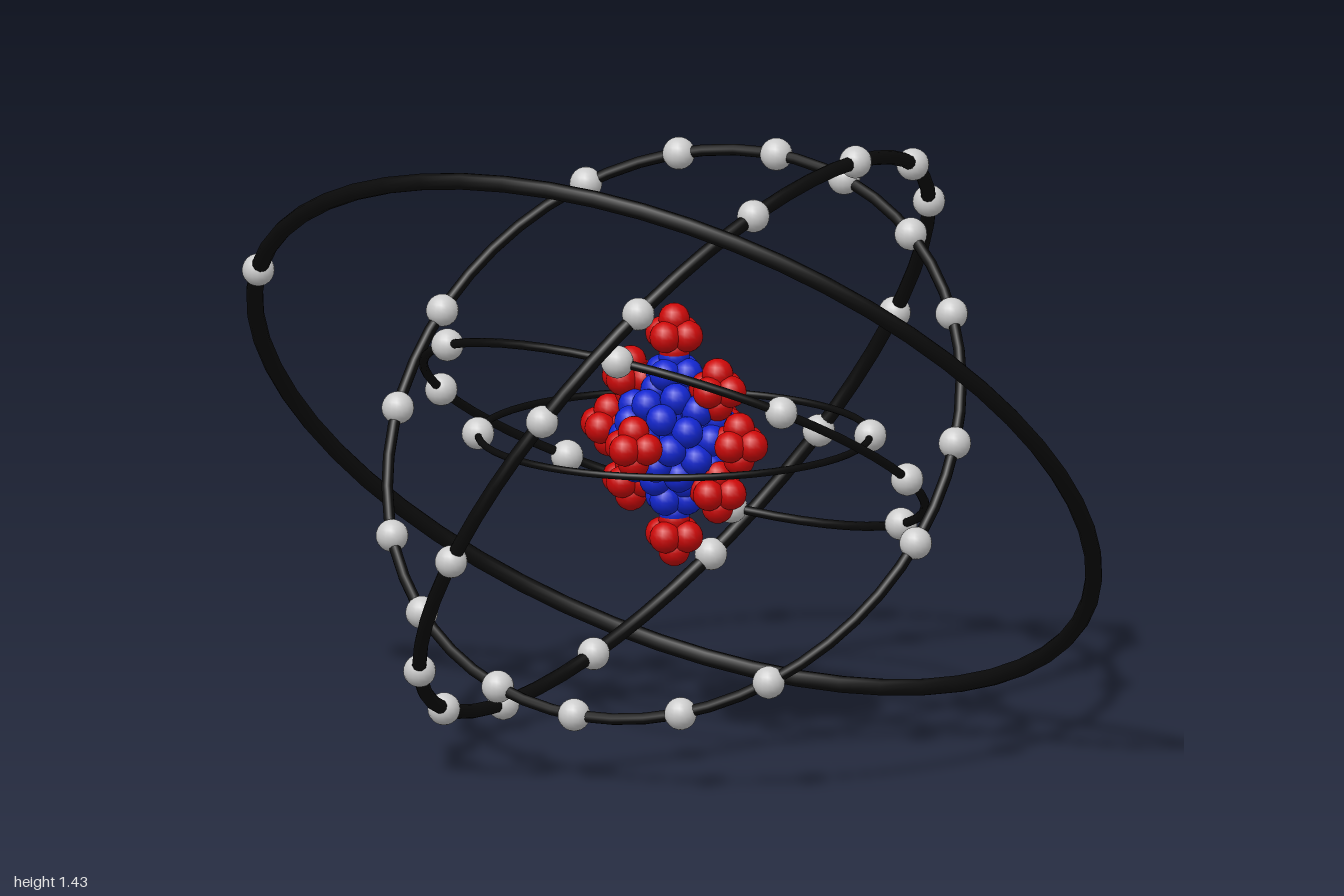
import * as THREE from 'three';

const CENTRE_Y = 0.72;
const mat = (color) => new THREE.MeshStandardMaterial({ color });

export function createModel() {
  const model = new THREE.Group();
  model.name = 'atom';
  const atom = new THREE.Group();
  atom.name = 'orbitsAndNucleus';
  atom.position.y = CENTRE_Y;
  model.add(atom);

  const black = mat(0x0a0a0a), red = mat(0xcc0808), blue = mat(0x1226d0), grey = mat(0xcccccc);
  const electronGeo = new THREE.SphereGeometry(0.036, 18, 12);
  const nucleonGeo = new THREE.SphereGeometry(0.035, 16, 10);

  const ball = (parent, geo, material, name, p) => {
    const m = new THREE.Mesh(geo, material);
    m.name = name;
    m.position.copy(p);
    parent.add(m);
  };

  // One orbit: a torus facing its normal, with electrons given by two
  // coordinates; the third follows from the plane of the orbit.
  function orbit(name, radius, tube, normal, axes, points) {
    const group = new THREE.Group();
    group.name = name;
    const n = new THREE.Vector3(...normal).normalize();
    const ring = new THREE.Mesh(new THREE.TorusGeometry(radius, tube, 10, 56), black);
    ring.name = name + 'Ring';
    ring.quaternion.setFromUnitVectors(new THREE.Vector3(0, 0, 1), n);
    group.add(ring);
    const [a, b] = axes;
    const c = ['x', 'y', 'z'].find((k) => !axes.includes(k));
    for (const [u, v] of points) {
      const p = new THREE.Vector3();
      p[a] = u;
      p[b] = v;
      p[c] = -(n[a] * u + n[b] * v) / n[c];
      ball(group, electronGeo, grey, 'electron', p.setLength(radius));
    }
    atom.add(group);
  }

  // Orbits from the innermost to the outermost
  orbit('firstOrbit', 0.43, 0.008, [0, 1, 0], 'xz', [[-0.365, 0.235], [0.365, -0.235]]);
  const half = [[0.17, 0.47], [-0.325, 0.415], [0.475, 0.28], [-0.57, 0.075]];
  orbit('secondOrbit', 0.573, 0.01, [0, 1, -0.577], 'xz',
    half.concat(half.map(([x, z]) => [-x, -z])));
  orbit('thirdOrbit', 0.68, 0.013, [0.115, 0.7, 1], 'xy', [
    [-0.225, 0.535], [0.005, 0.555], [0.185, 0.525], [0.39, 0.435], [0.55, 0.29],
    [0.665, 0.045], [0.665, -0.155], [0.425, -0.445], [0.245, -0.52], [0, -0.545],
    [-0.2, -0.51], [-0.44, -0.39], [-0.58, -0.255], [-0.675, -0.01], [-0.65, 0.185],
    [-0.42, 0.46]]);
  orbit('fourthOrbit', 0.79, 0.016, [1, -0.67, -0.045], 'zy', [
    [0.775, -0.15], [0.755, 0.19], [0.6, 0.425], [0.305, 0.605], [-0.065, 0.66],
    [-0.375, 0.575], [-0.59, 0.45], [-0.775, 0.135], [-0.755, -0.15], [-0.59, -0.415],
    [-0.295, -0.595], [0.02, -0.65], [0.32, -0.605], [0.58, -0.46]]);
  orbit('fifthOrbit', 0.981, 0.019, [0.084, -1, 1], 'xy', [[-0.83, 0.345]]);

  // Nucleus
  const nucleus = new THREE.Group();
  nucleus.name = 'nucleus';
  atom.add(nucleus);

  // Six nucleons packed around a point
  const cluster = (x, y, z, material, name, spread = 0.035) => {
    for (const axis of ['x', 'y', 'z']) for (const s of [-1, 1]) {
      const p = new THREE.Vector3(x, y, z);
      p[axis] += s * spread;
      ball(nucleus, nucleonGeo, material, name, p);
    }
  };

  // Blue core: nucleons spread evenly over a small sphere
  const count = 44;
  for (let i = 0; i < count; i++) {
    const y = 1 - (2 * i + 1) / count, r = Math.sqrt(1 - y * y), t = i * 2.39996;
    ball(nucleus, nucleonGeo, blue, 'neutron',
      new THREE.Vector3(r * Math.cos(t), y, r * Math.sin(t)).multiplyScalar(0.11));
  }

  for (const s of [-1, 1]) {
    cluster(0, s * 0.14, 0, blue, 'neutron');
    // Red tips on the three axes
    cluster(s * 0.172, 0, 0, red, 'proton');
    cluster(0, s * 0.225, 0, red, 'proton');
    cluster(0, 0, s * 0.158, red, 'proton');
    // Red tips on the diagonals
    for (const v of [-1, 1]) cluster(s * 0.115, v * 0.115, 0, red, 'proton');
  }
  return model;
}
